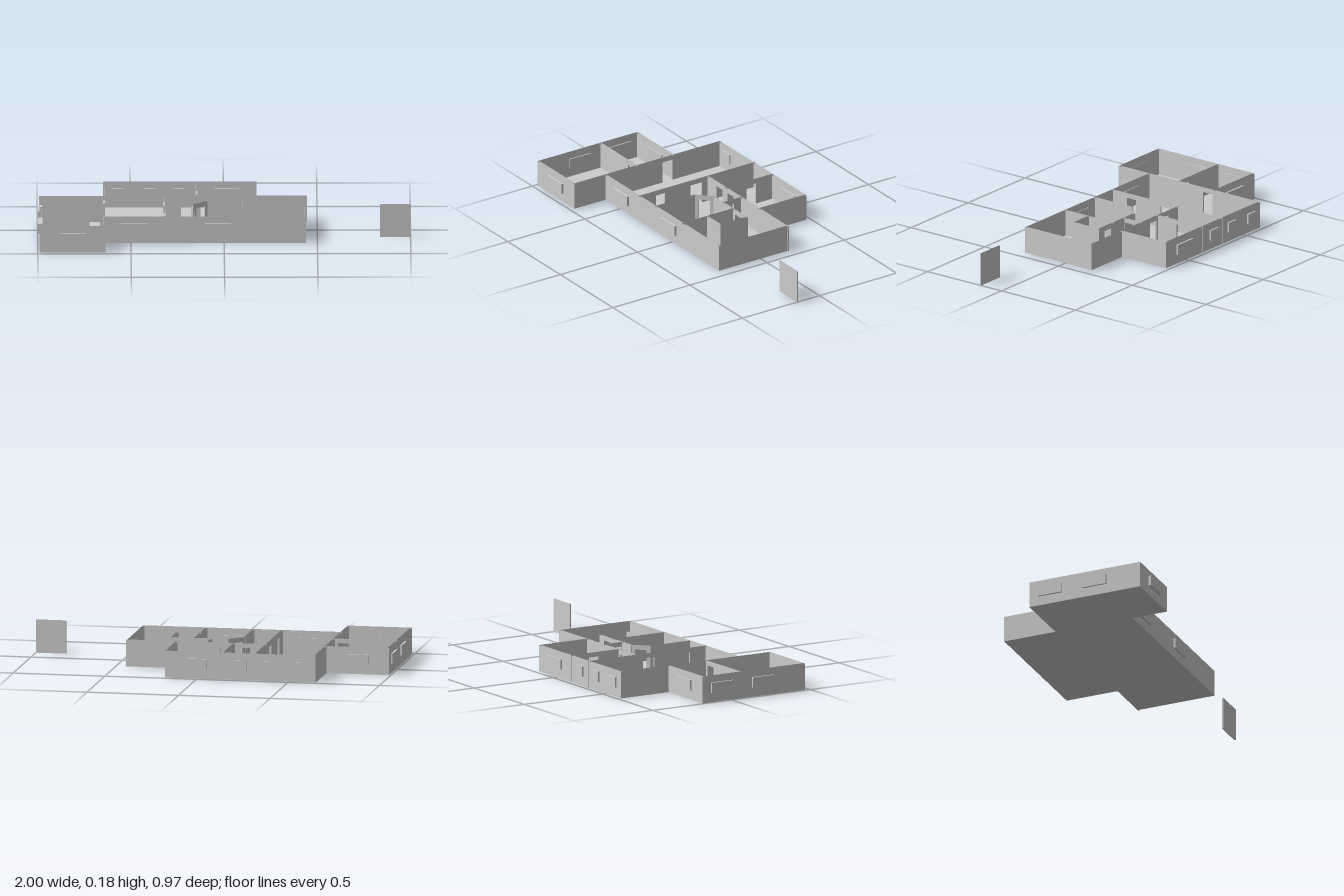
import * as THREE from 'three';

const H = 0.145;      // wall height
const T = 0.01;       // wall thickness
const DOOR_H = 0.122; // door opening height
const material = new THREE.MeshStandardMaterial({ color: 0xcccccc, side: THREE.DoubleSide });

function add(parent, name, geometry) {
  const mesh = new THREE.Mesh(geometry, material);
  mesh.name = name;
  parent.add(mesh);
  return mesh;
}

// Removes the upward faces at height y, leaving the shell open on top
function openTop(geometry, y) {
  const g = geometry.index ? geometry.toNonIndexed() : geometry;
  const p = g.attributes.position, n = g.attributes.normal;
  const pos = [], nor = [];
  for (let i = 0; i < p.count; i += 3) {
    if ([0, 1, 2].every(k => Math.abs(p.getY(i + k) - y) < 1e-5)) continue;
    for (let k = i; k < i + 3; k++) {
      pos.push(p.getX(k), p.getY(k), p.getZ(k));
      nor.push(n.getX(k), n.getY(k), n.getZ(k));
    }
  }
  const out = new THREE.BufferGeometry();
  out.setAttribute('position', new THREE.Float32BufferAttribute(pos, 3));
  out.setAttribute('normal', new THREE.Float32BufferAttribute(nor, 3));
  return out;
}

// Wall between two plan points; doors are [start, end] distances along it
function wall(parent, name, [x1, z1], [x2, z2], doors = []) {
  const length = Math.hypot(x2 - x1, z2 - z1);
  const e = T / 2;
  const s = new THREE.Shape().moveTo(-e, 0);
  for (const [a, b] of doors) {
    s.lineTo(a, 0).lineTo(a, DOOR_H).lineTo(b, DOOR_H).lineTo(b, 0);
  }
  s.lineTo(length + e, 0).lineTo(length + e, H).lineTo(-e, H);
  const g = new THREE.ExtrudeGeometry(s, { depth: T, bevelEnabled: false });
  g.translate(0, 0, -e);
  const mesh = add(parent, name, openTop(g, H));
  mesh.rotation.y = -Math.atan2(z2 - z1, x2 - x1);
  mesh.position.set(x1, 0, z1);
}

export function createModel() {
  const house = new THREE.Group();
  house.name = 'floorPlan';

  // Floor slab
  const outline = [[-0.99, 0.473], [-0.64, 0.473], [-0.64, 0.272], [0.435, 0.272], [0.435, -0.177],
    [0.175, -0.177], [0.175, -0.478], [-0.64, -0.478], [-0.64, -0.177], [-0.99, -0.177]];
  const floor = new THREE.ExtrudeGeometry(
    new THREE.Shape(outline.map(([x, z]) => new THREE.Vector2(x, -z))),
    { depth: 0.003, bevelEnabled: false });
  add(house, 'floor', floor.rotateX(-Math.PI / 2));

  // Outer walls
  const outer = new THREE.Group();
  outer.name = 'outerWalls';
  house.add(outer);
  wall(outer, 'wingSideWall', [-0.985, -0.172], [-0.985, 0.468]);
  wall(outer, 'wingFrontWall', [-0.985, 0.468], [-0.643, 0.468]);
  wall(outer, 'wingBackWall', [-0.985, -0.172], [-0.643, -0.172]);
  wall(outer, 'wingInnerWall', [-0.643, -0.473], [-0.643, 0.468], [[0.31, 0.375]]);
  wall(outer, 'frontWall', [-0.643, 0.267], [0.435, 0.267]);
  wall(outer, 'leftWall', [0.435, -0.172], [0.435, 0.267]);
  wall(outer, 'middleWall', [-0.32, -0.175], [0.44, -0.175], [[0.09, 0.147], [0.195, 0.253]]);
  wall(outer, 'backSideWall', [0.17, -0.473], [0.17, -0.175]);
  wall(outer, 'backWall', [-0.643, -0.473], [0.17, -0.473]);

  // Room partitions
  const inner = new THREE.Group();
  inner.name = 'partitions';
  house.add(inner);
  wall(inner, 'wingPartition', [-0.985, 0.065], [-0.643, 0.065], [[0.263, 0.32]]);
  wall(inner, 'hallPartition', [-0.32, -0.475], [-0.32, 0.267], [[0.34, 0.415], [0.58, 0.64]]);
  wall(inner, 'backPartition', [-0.145, -0.475], [-0.145, -0.175], [[0.11, 0.17]]);
  wall(inner, 'frontPartition', [-0.165, 0.015], [-0.165, 0.267]);
  wall(inner, 'cornerPartition', [-0.165, 0.015], [-0.09, -0.058], [[0.021, 0.084]]);
  wall(inner, 'corridorPartition', [-0.09, -0.058], [0.22, -0.058], [[0.21, 0.268]]);
  wall(inner, 'corridorEnd', [0, -0.175], [0, -0.058], [[0.053, 0.107]]);
  wall(inner, 'roomPartition', [0.093, -0.058], [0.093, 0.267]);
  wall(inner, 'closetSide', [0.22, -0.058], [0.22, 0.11]);
  wall(inner, 'closetFront', [0.093, 0.11], [0.22, 0.11]);

  // Window blocks passing through the outer walls: centre x, centre z, width, turned
  const windows = [
    [-0.568, -0.474, 0.066], [-0.396, -0.474, 0.066], [-0.24, -0.474, 0.066], [0.015, -0.474, 0.139],
    [-0.81, -0.174, 0.139], [-0.81, 0.474, 0.139], [-0.483, 0.271, 0.139], [-0.033, 0.271, 0.139],
    [-0.987, -0.055, 0.139, true], [-0.987, 0.206, 0.139, true],
  ];
  for (const [x, z, w, turned] of windows) {
    const size = turned ? [0.026, 0.056, w] : [w, 0.056, 0.026];
    add(house, 'window', new THREE.BoxGeometry(...size)).position.set(x, 0.08, z);
  }

  // Free-standing panel beside the house
  const panel = openTop(new THREE.BoxGeometry(0.165, 0.18, 0.008), 0.09);
  add(house, 'loosePanel', panel).position.set(0.9175, 0.09, 0.142);

  return house;
}
